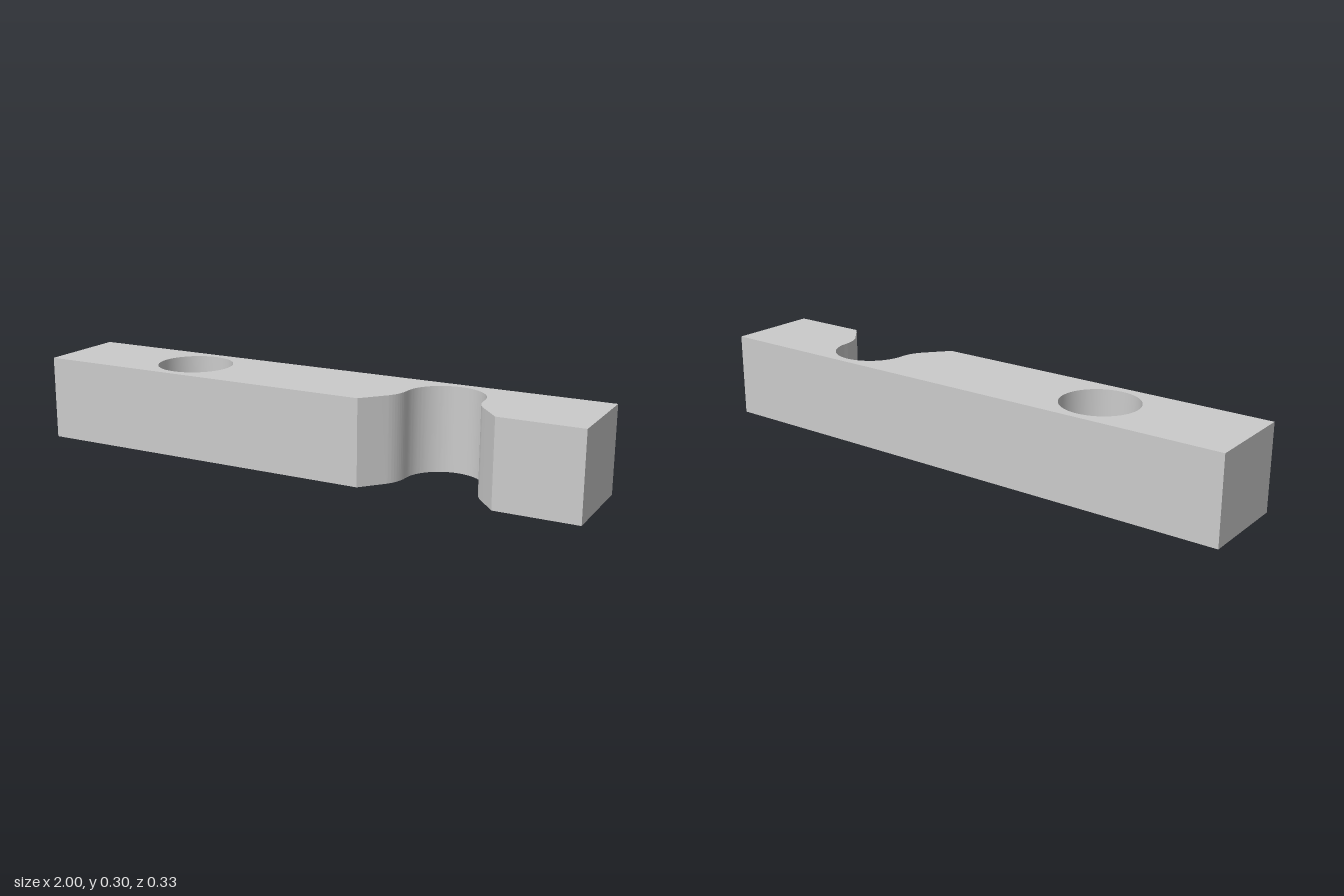
import * as THREE from 'three';
import { toCreasedNormals } from 'three/addons/utils/BufferGeometryUtils.js';

export function createModel() {
  const group = new THREE.Group();
  const halfDepth = 0.165, height = 0.3;
  const r = 0.134;                      // bore, slot and fillet radius
  const cx = 0.483;                     // offset of bore and slot from the middle
  const flare = THREE.MathUtils.degToRad(40);
  const mouth = 0.2325;                 // half width of the slot at the front face

  // Plan outline (shape y is -z): bar with a flared slot open to the front
  const outline = new THREE.Shape();
  outline.moveTo(-1, -halfDepth);
  outline.lineTo(cx - mouth, -halfDepth);
  outline.absarc(cx - 2 * r, 0, r, -flare, 0, false);
  outline.absarc(cx, 0, r, Math.PI, 0, true);
  outline.absarc(cx + 2 * r, 0, r, Math.PI, Math.PI + flare, false);
  outline.lineTo(cx + mouth, -halfDepth);
  outline.lineTo(1, -halfDepth);
  outline.lineTo(1, halfDepth);
  outline.lineTo(-1, halfDepth);
  outline.closePath();

  // Round through bore
  const bore = new THREE.Path();
  bore.absarc(-cx, 0, r, 0, Math.PI * 2, true);
  outline.holes.push(bore);

  const extruded = new THREE.ExtrudeGeometry(outline, {
    depth: height, bevelEnabled: false, curveSegments: 32,
  });
  extruded.rotateX(-Math.PI / 2);
  const bar = new THREE.Mesh(
    toCreasedNormals(extruded, Math.PI / 6),
    new THREE.MeshStandardMaterial({ color: 0xcccccc })
  );
  bar.name = 'slottedBar';
  group.add(bar);
  return group;
}
